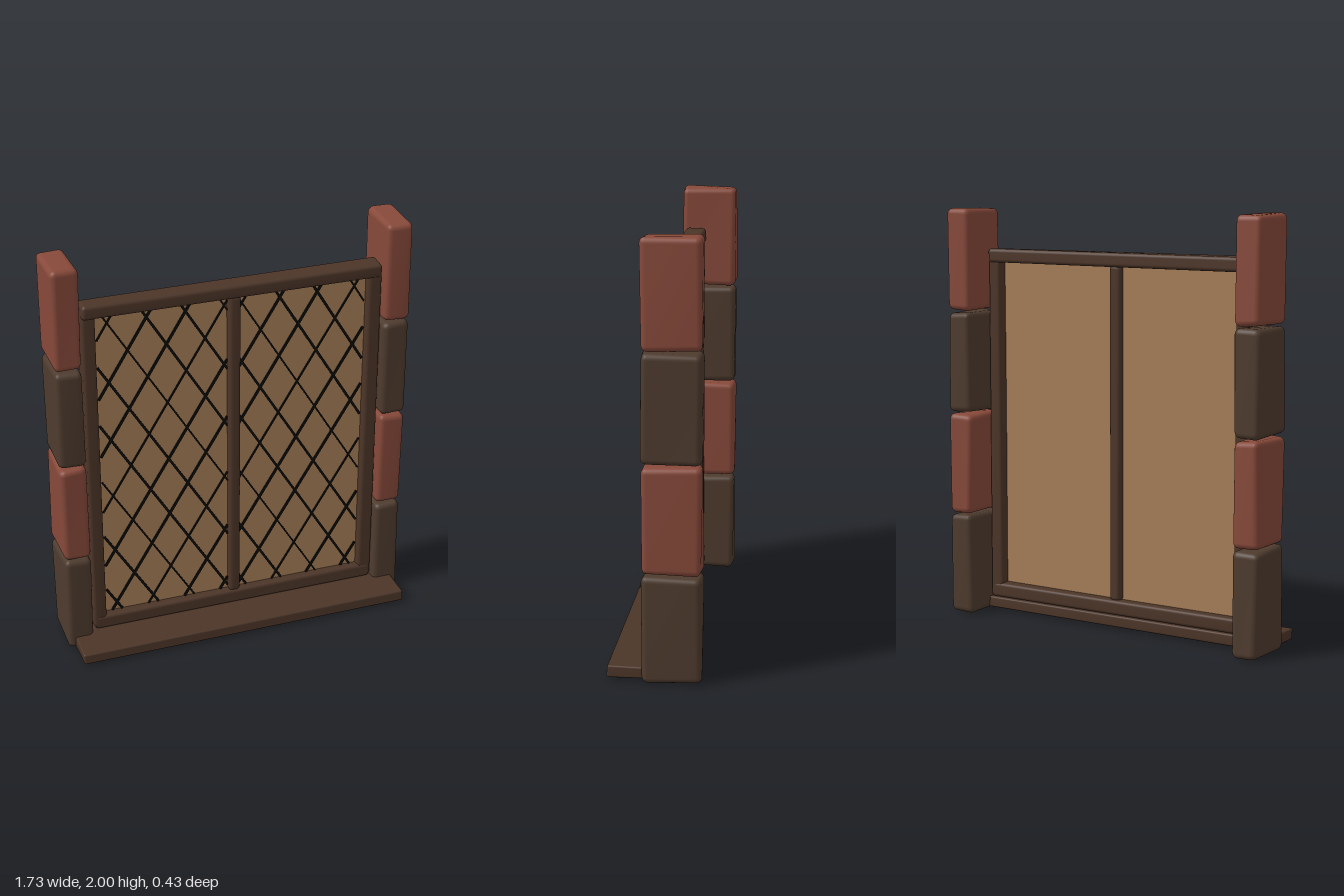
import * as THREE from 'three';
import { RoundedBoxGeometry } from 'three/addons/geometries/RoundedBoxGeometry.js';
import { mergeVertices, mergeGeometries } from 'three/addons/utils/BufferGeometryUtils.js';

const material = (name, color, side = THREE.FrontSide) => {
  const m = new THREE.MeshStandardMaterial({ color, side });
  m.name = name;
  return m;
};

// Rounded block between two corners, warped slightly so it looks hand-cut
function block(min, max, radius, wobble, seed) {
  const size = max.map((v, i) => v - min[i]);
  let g = new RoundedBoxGeometry(...size, 3, radius);
  g.deleteAttribute('uv');
  g.deleteAttribute('normal');
  g = mergeVertices(g, 1e-4);
  const p = g.attributes.position;
  for (let i = 0; i < p.count; i++) {
    const u = [p.getX(i) / size[0], p.getY(i) / size[1], p.getZ(i) / size[2]];
    const shift = [0, 1, 2].map(a => {
      const b = u[(a + 1) % 3], c = u[(a + 2) % 3];
      // Only pull inwards, keeping the block inside its limits
      return -2 * u[a] * wobble * (0.5 + 0.5 * Math.sin(seed * 2.3 + a * 1.9 + b * 4 + c * 3 + u[a] * 5));
    });
    p.setXYZ(i, p.getX(i) + shift[0], p.getY(i) + shift[1], p.getZ(i) + shift[2]);
  }
  g.computeVertexNormals();
  g.translate(...min.map((v, i) => (v + max[i]) / 2));
  return g;
}

// Diagonal strip across a pane, clipped to the pane's edges; null when it misses
function strip(pane, slope, offset, width, z) {
  const atY = y => (y - offset) / slope;
  const ends = [atY(pane.y0), atY(pane.y1)].sort((a, b) => a - b);
  const xa = Math.max(pane.x0, ends[0]), xb = Math.min(pane.x1, ends[1]);
  if (xb - xa < 0.03) return null;
  const angle = Math.atan(slope);
  const g = new THREE.BoxGeometry((xb - xa) / Math.cos(angle), width, 0.006);
  g.rotateZ(angle);
  g.translate((xa + xb) / 2, slope * (xa + xb) / 2 + offset, z);
  return g;
}

export function createModel() {
  const group = new THREE.Group();
  group.name = 'latticeWindow';
  const red = material('red brick', 0x87493a);
  const brown = material('brown stone', 0x4e3b2e);
  const wood = material('dark wood', 0x4c3528);
  const glass = material('amber pane', 0xa67e58, THREE.DoubleSide);
  const lead = material('black lead', 0x0c0b0a);
  const add = (name, geometry, mat) => {
    const mesh = new THREE.Mesh(geometry, mat);
    mesh.name = name;
    group.add(mesh);
  };

  // Stacked stones on both sides, alternating in colour
  for (const side of [-1, 1]) {
    for (let i = 0; i < 4; i++) {
      const isRed = i % 2 === 1;
      const x = side * 0.798, y = i * 0.5;
      const seed = i * 1.7 + (side > 0 ? 4 : 0);
      add(`${side < 0 ? 'right' : 'left'}Stone${i + 1}`,
        block([x - 0.068, y + (i ? 0.003 : 0), -0.212], [x + 0.068, y + (i === 3 ? 0.5 : 0.499), 0.062],
          0.028, 0.007, seed),
        isRed ? red : brown);
    }
  }

  // Wooden frame, mullion and sill
  const beams = [
    ['topRail', [-0.724, 1.732, -0.066], [0.724, 1.803, 0.041], 0.018],
    ['bottomRail', [-0.724, 0.066, -0.062], [0.724, 0.142, 0.038], 0.018],
    ['rightJamb', [-0.727, 0.075, -0.058], [-0.658, 1.755, 0.034], 0.016],
    ['leftJamb', [0.656, 0.075, -0.058], [0.727, 1.755, 0.034], 0.016],
    ['mullion', [-0.031, 0.13, -0.045], [0.031, 1.745, 0.032], 0.02],
    ['sill', [-0.832, 0.008, -0.06], [0.832, 0.067, 0.219], 0.01],
  ];
  beams.forEach(([name, min, max, r], i) => add(name, block(min, max, r, 0.004, i * 1.3 + 0.5), wood));

  // Pane sheet shared by both halves
  const sheet = new THREE.PlaneGeometry(1.34, 1.63);
  sheet.translate(0, 0.935, -0.008);
  add('pane', sheet, glass);

  // Lead lattice, mirrored about the mullion
  const slope = 1.63, spacing = 0.302;
  for (const side of [-1, 1]) {
    const pane = { x0: side < 0 ? -0.65 : 0.028, x1: side < 0 ? -0.028 : 0.65, y0: 0.14, y1: 1.735 };
    const strips = [];
    for (let k = -8; k < 9; k++) {
      for (const dir of [-1, 1]) {
        // Height at which the line meets the outer edge of the pane
        const edgeY = (dir === side ? 0.86 : 0.71) + k * spacing;
        const lean = dir * slope;
        const width = k % 3 === 0 ? 0.008 : 0.012;
        strips.push(strip(pane, lean, edgeY - lean * side * 0.645, width, -0.004));
      }
    }
    add(side < 0 ? 'rightLattice' : 'leftLattice', mergeGeometries(strips.filter(Boolean)), lead);
  }
  return group;
}
